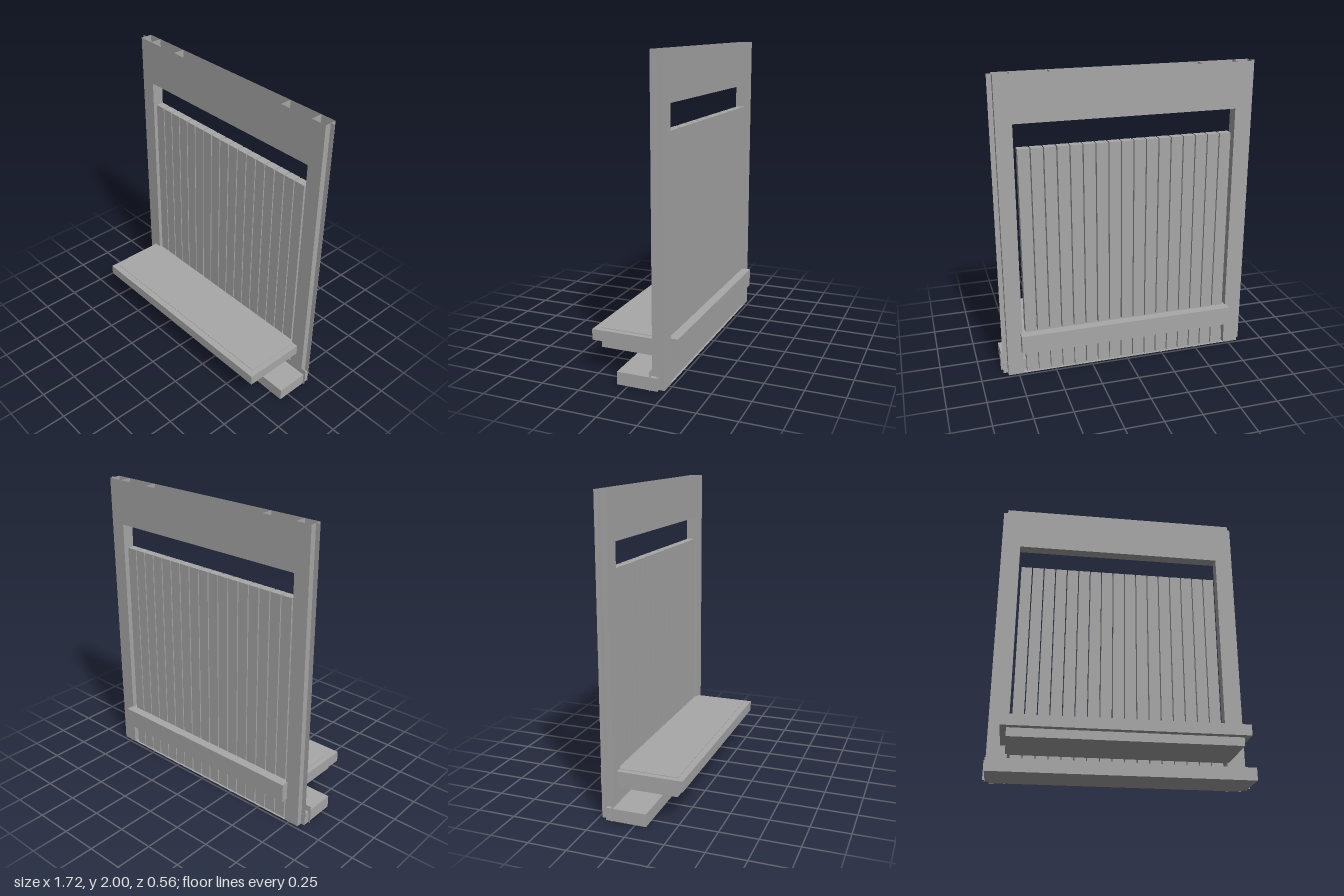
import * as THREE from 'three';

export function createModel() {
  const group = new THREE.Group();
  const grey = new THREE.MeshStandardMaterial({ color: 0xa8a8a8, side: THREE.DoubleSide });
  grey.name = 'plain grey';

  function add(name, geometry) {
    const mesh = new THREE.Mesh(geometry, grey);
    mesh.name = name;
    group.add(mesh);
    return mesh;
  }
  // Box given by its lower and upper limits on each axis
  function box(name, x0, x1, y0, y1, z0, z1) {
    add(name, new THREE.BoxGeometry(x1 - x0, y1 - y0, z1 - z0))
      .position.set((x0 + x1) / 2, (y0 + y1) / 2, (z0 + z1) / 2);
  }
  // Sheet facing z, facing x, or lying flat
  function sheetZ(name, x0, x1, y0, y1, z) {
    add(name, new THREE.PlaneGeometry(x1 - x0, y1 - y0)).position.set((x0 + x1) / 2, (y0 + y1) / 2, z);
  }
  function sheetX(name, x, y0, y1) {
    const m = add(name, new THREE.PlaneGeometry(BACK_TO_FRONT, y1 - y0));
    m.rotation.y = Math.sign(x) * Math.PI / 2;
    m.position.set(x, (y0 + y1) / 2, MID);
  }
  function sheetY(name, halfWidth, y) {
    const m = add(name, new THREE.PlaneGeometry(2 * halfWidth, BACK_TO_FRONT));
    m.rotation.x = Math.PI / 2;
    m.position.set(0, y, MID);
  }

  const FRONT = -0.15, BACK = -0.23;
  const MID = (FRONT + BACK) / 2, BACK_TO_FRONT = FRONT - BACK;
  const OUTER = 0.82, INNER = 0.717, TOP = 2, HEAD = 1.7;

  // Hollow portal frame: two U-shaped skins with side walls and dividers between
  const portal = new THREE.Shape([
    [-OUTER, 0], [-INNER, 0], [-INNER, HEAD], [INNER, HEAD],
    [INNER, 0], [OUTER, 0], [OUTER, TOP], [-OUTER, TOP],
  ].map(([x, y]) => new THREE.Vector2(x, y)));
  add('frameFrontSkin', new THREE.ShapeGeometry(portal)).position.z = FRONT;
  const backSkin = add('frameBackSkin', new THREE.ShapeGeometry(portal));
  backSkin.rotation.y = Math.PI;
  backSkin.position.z = BACK;
  for (const s of [-1, 1]) {
    sheetX('frameSideWall', s * OUTER, 0, TOP);
    sheetX('frameJamb', s * INNER, 0, TOP);
    sheetX('headerDivider', s * 0.48, HEAD, TOP);
    // Thin fin running up the middle of each side
    sheetZ('sideFin', Math.min(s * OUTER, s * 0.85), Math.max(s * OUTER, s * 0.85), 0, TOP, MID);
  }
  sheetY('headerSoffit', INNER, HEAD);
  sheetY('frameBottom', OUTER, 0.001);

  // Kick plate across the foot of the frame
  sheetZ('kickPlate', -0.86, 0.86, 0, 0.125, FRONT + 0.002);

  // Upright slats
  const COUNT = 17, PITCH = 0.0823, WIDTH = 0.075;
  for (let i = 0; i < COUNT; i++) {
    const x = (i - (COUNT - 1) / 2) * PITCH - 0.003;
    box('slat', x - WIDTH / 2, x + WIDTH / 2, 0.002, 1.54, -0.217, -0.163);
  }

  // Base, bench top, and the beam that runs through the slats
  box('base', -0.845, 0.845, 0, 0.083, -0.193, 0.072);
  box('benchTop', -0.765, 0.765, 0.225, 0.295, FRONT, 0.278);
  box('benchBeam', -0.728, 0.728, 0.17, 0.298, -0.278, 0.233);

  return group;
}
